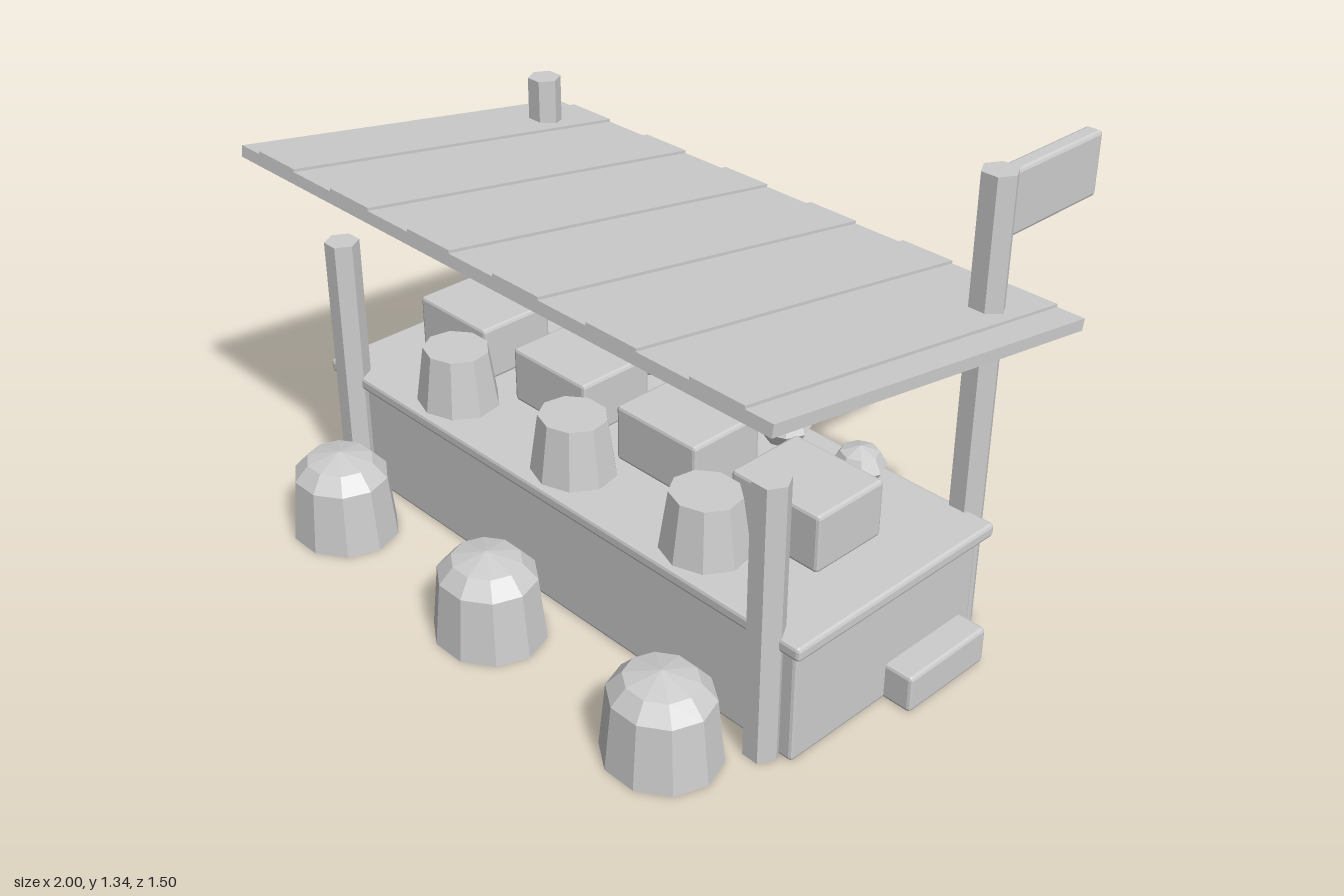
import * as THREE from 'three';
import { RoundedBoxGeometry } from 'three/addons/geometries/RoundedBoxGeometry.js';

const grey = new THREE.MeshStandardMaterial({ color: 0xcccccc, flatShading: true });
grey.name = 'plainGrey';

export function createModel() {
  const model = new THREE.Group();
  model.name = 'marketStall';

  const add = (name, geometry, x, y, z, parent = model) => {
    const mesh = new THREE.Mesh(geometry, grey);
    mesh.name = name;
    mesh.position.set(x, y, z);
    parent.add(mesh);
    return mesh;
  };
  // Box with chamfered edges, given by its limits
  const block = (name, x0, x1, y0, y1, z0, z1, bevel = 0.01) =>
    add(name, new RoundedBoxGeometry(x1 - x0, y1 - y0, z1 - z0, 1, bevel),
      (x0 + x1) / 2, (y0 + y1) / 2, (z0 + z1) / 2);
  // Hexagonal post with its corners pointing sideways
  const post = (name, x, z, height) =>
    add(name, new THREE.CylinderGeometry(0.05, 0.05, height, 6).rotateY(Math.PI / 2), x, height / 2, z);

  // Counter
  block('counterBody', -0.915, 0.915, 0, 0.345, -0.295, 0.4);
  block('counterTop', -0.945, 0.945, 0.34, 0.38, -0.325, 0.425);

  // Posts and side steps
  for (const side of [-1, 1]) {
    post('frontPost', side * 0.835, 0.42, 0.81);
    post('backPost', side * 0.835, -0.348, side > 0 ? 1.335 : 1.1);
    block('sideStep', side * 0.95 - 0.05, side * 0.95 + 0.05, 0, 0.11, -0.255, 0.05);
  }

  // Hanging sign board
  block('signBoard', 0.805, 0.855, 1.145, 1.325, -0.748, -0.37);

  // Sloping roof of planks, every other one slightly thicker
  const roof = new THREE.Group();
  roof.name = 'roof';
  roof.position.set(0.04, 0.984, 0.04).setX(0);
  roof.rotation.x = -Math.atan2(0.182, 1.14);
  model.add(roof);
  for (let i = 0; i <= 12; i++) {
    const x0 = Math.max(-1, -1 + (i - 0.5) / 6);
    const x1 = Math.min(1, -1 + (i + 0.5) / 6);
    const thick = i % 2 ? 0.041 : 0.033;
    add('roofPlank', new THREE.BoxGeometry(x1 - x0, thick, 1.155), (x0 + x1) / 2, thick / 2, 0, roof);
  }

  // Crates on the counter
  for (let i = 0; i < 4; i++) {
    const x = -0.665 + i * 0.43;
    block('crate', x - 0.15, x + 0.15, 0.38, 0.55, -0.07, 0.175);
  }

  // Tapered tubs on the counter
  for (const x of [-0.5, 0, 0.5]) {
    const tub = add('tub', new THREE.CylinderGeometry(0.1, 0.126, 0.17, 9), x, 0.465, 0.29);
    tub.scale.z = 0.92;
  }

  // Round produce along the back of the counter
  for (let i = 0; i < 6; i++) {
    const ball = add('produce', new THREE.SphereGeometry(0.075, 8, 4), -0.745 + i * 0.267, 0.455, -0.195);
    ball.scale.y = 0.75;
  }

  // Filled baskets on the ground in front
  const profile = [[0, 0], [0.165, 0], [0.145, 0.19], [0.102, 0.236], [0, 0.26]]
    .map(([r, y]) => new THREE.Vector2(r, y));
  for (const x of [-0.667, 0, 0.667]) {
    const basket = add('filledBasket', new THREE.LatheGeometry(profile, 10, Math.PI / 2), x, 0, 0.603);
    basket.scale.z = 0.92;
  }

  return model;
}
